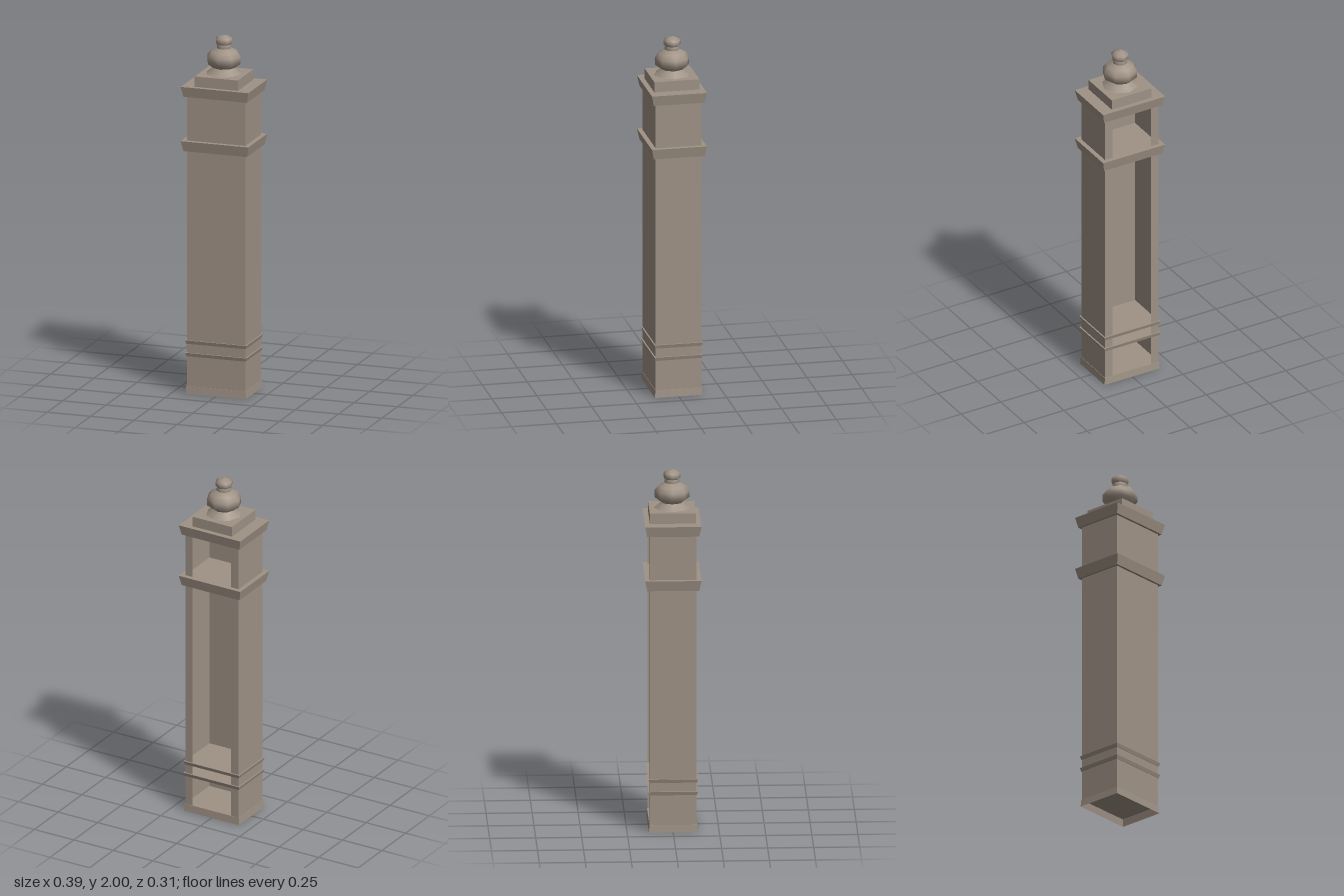
import * as THREE from 'three';

const stone = new THREE.MeshStandardMaterial({ color: 0x9f9285, side: THREE.DoubleSide });
stone.name = 'warm grey stone';

// Rectangular block from y0 to y1, tapering from half sizes [x, z] at the bottom to those at the top
function block(name, y0, y1, bottom, top, openBottom = false) {
  const geo = new THREE.BoxGeometry(2, 2, 2);
  const p = geo.attributes.position;
  for (let i = 0; i < p.count; i++) {
    const up = p.getY(i) > 0;
    const [hx, hz] = up ? top : bottom;
    p.setXYZ(i, p.getX(i) * hx, up ? y1 : y0, p.getZ(i) * hz);
  }
  if (openBottom) {
    const index = Array.from(geo.index.array);
    index.splice(18, 6); // drop the underside
    geo.clearGroups();
    geo.setIndex(index);
  }
  geo.computeVertexNormals();
  const mesh = new THREE.Mesh(geo, stone);
  mesh.name = name;
  return mesh;
}

// Thin wall following a plan outline [x, z] between two heights
function wall(name, outline, y0, y1) {
  const pos = [];
  for (let i = 0; i < outline.length - 1; i++) {
    const [ax, az] = outline[i];
    const [bx, bz] = outline[i + 1];
    pos.push(ax, y0, az, bx, y0, bz, bx, y1, bz, ax, y0, az, bx, y1, bz, ax, y1, az);
  }
  const geo = new THREE.BufferGeometry();
  geo.setAttribute('position', new THREE.Float32BufferAttribute(pos, 3));
  geo.computeVertexNormals();
  const mesh = new THREE.Mesh(geo, stone);
  mesh.name = name;
  return mesh;
}

// Eight-sided turned piece, smooth along its profile of [radius, y]
function turned(name, profile) {
  const pts = profile.map(([r, y]) => new THREE.Vector2(r, y));
  const mesh = new THREE.Mesh(new THREE.LatheGeometry(pts, 8), stone);
  mesh.name = name;
  return mesh;
}

export function createModel() {
  const post = new THREE.Group();
  post.name = 'newelPost';

  // Hollow shaft, open at the back between two narrow returns
  const x = 0.169, z = 0.127, lip = 0.122;
  post.add(wall('shaft', [[-lip, -z], [-x, -z], [-x, z], [x, z], [x, -z], [lip, -z]], 0.04, 1.68));

  // Base and mouldings
  post.add(block('base', 0, 0.042, [0.174, 0.132], [0.171, 0.129], true));
  post.add(block('lowerBand', 0.21, 0.23, [0.171, 0.129], [0.177, 0.135]));
  post.add(block('upperBand', 0.28, 0.3, [0.171, 0.129], [0.177, 0.135]));
  for (const [name, y] of [['neckMoulding', 1.365], ['capMoulding', 1.67]]) {
    post.add(block(name, y, y + 0.058, [0.183, 0.141], [0.195, 0.153]));
  }
  post.add(block('plinth', 1.728, 1.786, [0.125, 0.125], [0.125, 0.125]));

  // Turned finial
  const finial = new THREE.Group();
  finial.name = 'finial';
  finial.add(
    turned('finialFoot', [[0.1, 1.786], [0.08, 1.801], [0.06, 1.82]]),
    turned('finialBulb', [[0.06, 1.818], [0.095, 1.845], [0.096, 1.883], [0.075, 1.91], [0.04, 1.928]]),
    turned('finialCollar', [[0.04, 1.926], [0.042, 1.938], [0.038, 1.95]]),
    turned('finialKnob', [[0.036, 1.946], [0.046, 1.957], [0.047, 1.982], [0.025, 1.994], [0, 2]])
  );
  post.add(finial);
  return post;
}
